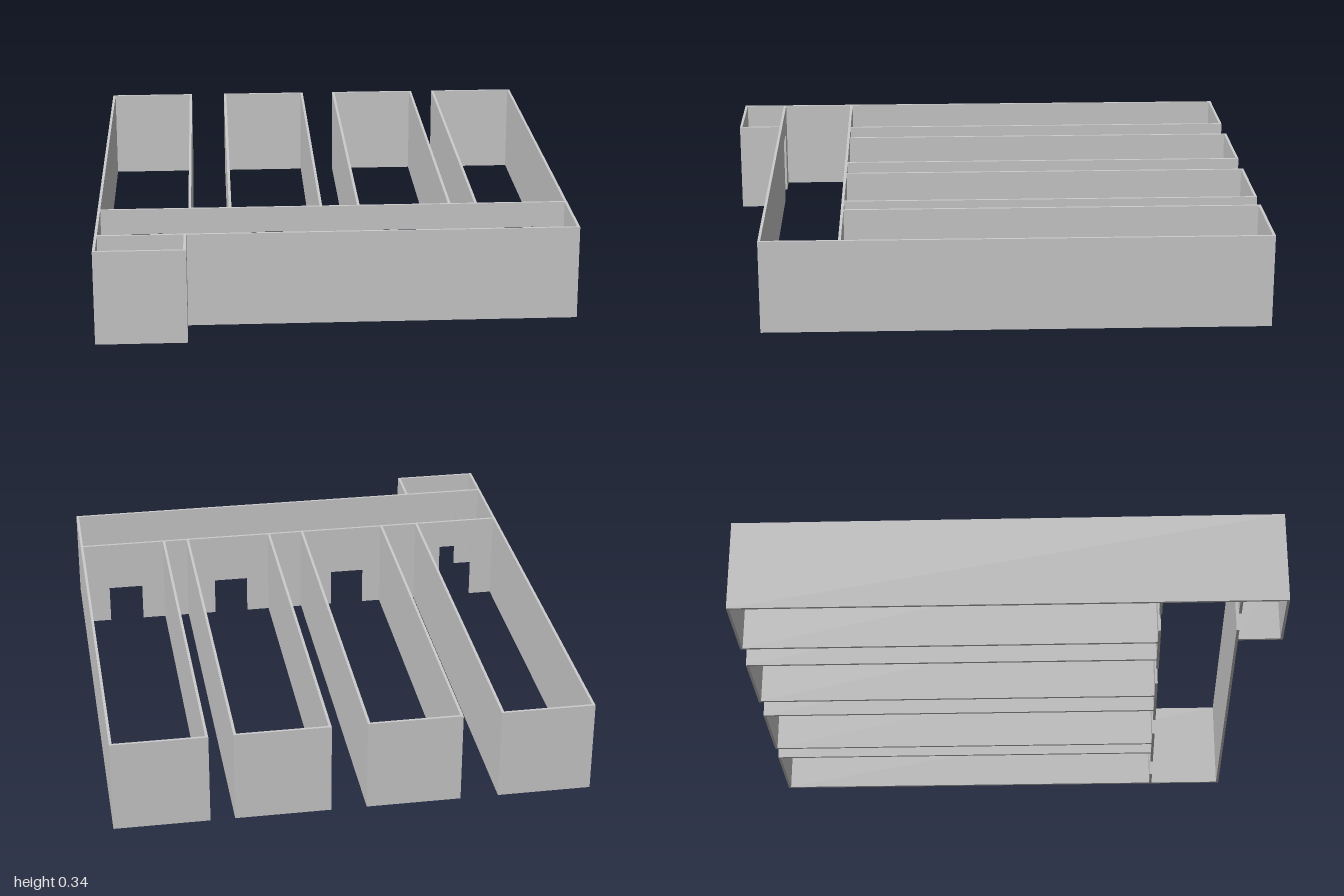
import * as THREE from 'three';

const H = 0.345;      // wall height
const T = 0.01;       // wall thickness
const DOOR_H = 0.25;
const DOOR_W = 0.135;
const HALF = 0.864;   // half of the overall width
const CORRIDOR_BACK = 0.542, CORRIDOR_FRONT = 0.836;

const material = new THREE.MeshStandardMaterial({ color: 0xcccccc, flatShading: true });

export function createModel() {
  const model = new THREE.Group();

  const add = (name, geometry) => {
    const mesh = new THREE.Mesh(geometry, material);
    mesh.name = name;
    model.add(mesh);
  };

  // Wall running front to back, from x to x + T
  const sideWall = (name, x, z0, z1) =>
    add(name, new THREE.BoxGeometry(T, H, z1 - z0).translate(x + T / 2, H / 2, (z0 + z1) / 2));

  // Wall running left to right, from z to z + T, notched from the floor at each door centre
  const crossWall = (name, x0, x1, z, doors = []) => {
    const s = new THREE.Shape();
    s.moveTo(x0, 0);
    for (const c of doors) {
      s.lineTo(c - DOOR_W / 2, 0);
      s.lineTo(c - DOOR_W / 2, DOOR_H);
      s.lineTo(c + DOOR_W / 2, DOOR_H);
      s.lineTo(c + DOOR_W / 2, 0);
    }
    s.lineTo(x1, 0);
    s.lineTo(x1, H);
    s.lineTo(x0, H);
    s.closePath();
    add(name, new THREE.ExtrudeGeometry(s, { depth: T, bevelEnabled: false }).translate(0, 0, z));
  };

  // Four long rooms, open above and below; the outermost walls also close the corridor and porch
  const rooms = [[-HALF, -0.523], [-0.385, -0.042], [0.086, 0.432], [0.52, HALF]];
  rooms.forEach(([x0, x1], i) => {
    const n = i + 1;
    sideWall(`room${n}RightWall`, x0, -1, i === 0 ? 1 : CORRIDOR_BACK);
    sideWall(`room${n}LeftWall`, x1 - T, -1, i === 3 ? CORRIDOR_FRONT : CORRIDOR_BACK);
    crossWall(`room${n}BackWall`, x0 + T, x1 - T, -1);
  });

  // Corridor with a door to every room and one to the porch
  crossWall('corridorBackWall', -HALF + T, HALF - T, CORRIDOR_BACK, [-0.697, -0.236, 0.252, 0.688]);
  crossWall('corridorFrontWall', -HALF + T, HALF - T, CORRIDOR_FRONT - T, [-0.693]);

  // Small porch at the front corner
  sideWall('porchSideWall', -0.539 - T, CORRIDOR_FRONT, 1);
  crossWall('porchFrontWall', -HALF + T, -0.539 - T, 1 - T);

  return model;
}
